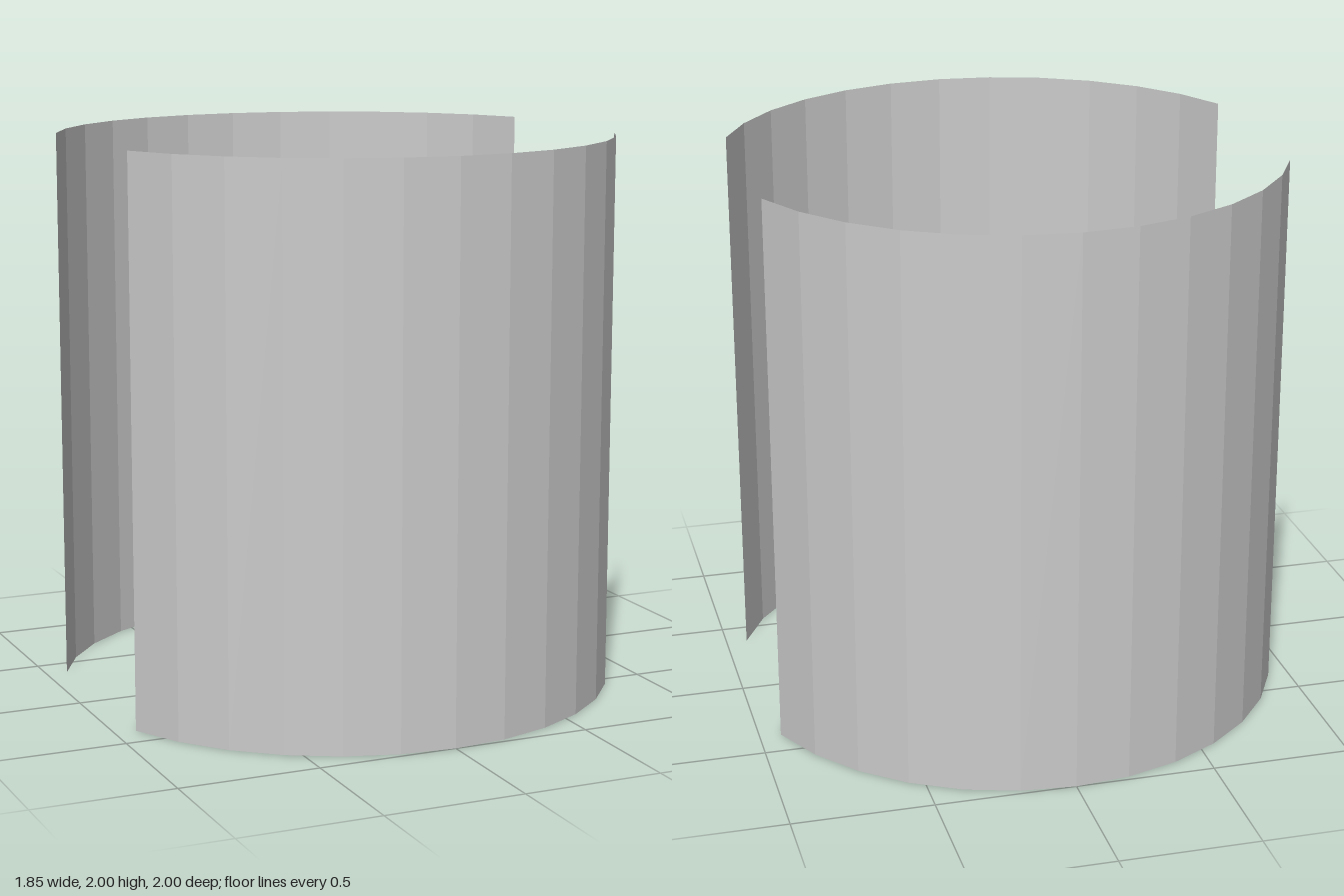
import * as THREE from 'three';

export function createModel() {
  const model = new THREE.Group();
  model.name = 'splitCylinder';

  const material = new THREE.MeshStandardMaterial({
    color: 0xcccccc,
    flatShading: true,
    side: THREE.DoubleSide,
  });

  // Thin curved wall: 135 degrees of an open cylinder, centred on +z
  const arc = THREE.MathUtils.degToRad(135);
  const wall = new THREE.CylinderGeometry(1, 1, 2, 12, 1, true, -arc / 2, arc);
  wall.translate(0, 1, 0);

  // Front and back walls, leaving a gap on each side
  ['frontWall', 'backWall'].forEach((name, i) => {
    const mesh = new THREE.Mesh(wall, material);
    mesh.name = name;
    mesh.rotation.y = i * Math.PI;
    model.add(mesh);
  });

  return model;
}
